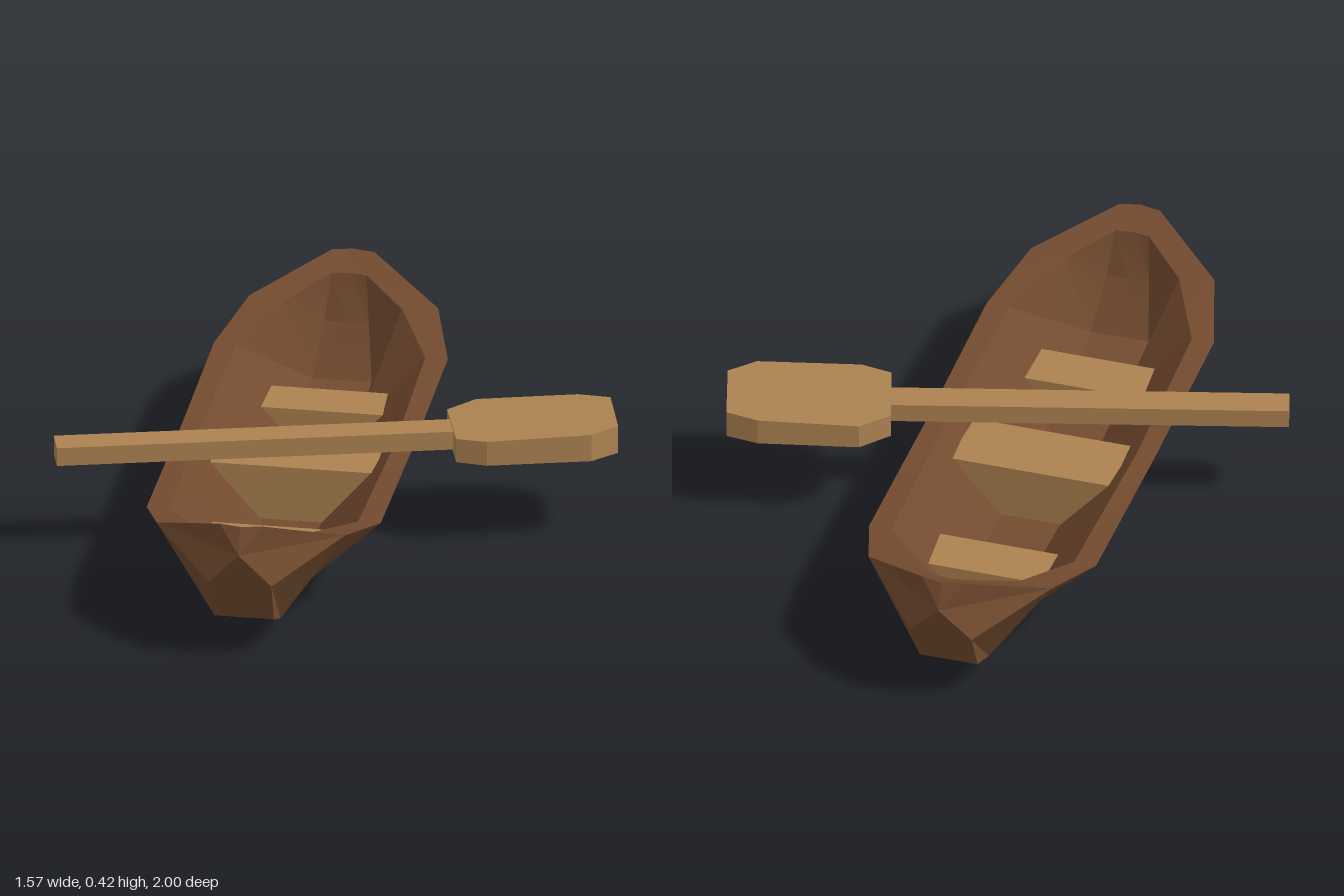
import * as THREE from 'three';
import { toCreasedNormals } from 'three/addons/utils/BufferGeometryUtils.js';

const HULL_X = -0.13;

// Quarter hull as polygons, mirrored across x and z
function hullGeometry() {
  // cross-sections: keel centre, bottom edge, outer rim, inner rim, floor edge, floor centre
  const rings = [
    [[0, 0.005, 0], [0.085, 0.005, 0], [0.335, 0.275, 0], [0.28, 0.275, 0], [0.085, 0.05, 0], [0, 0.05, 0]],
    [[0, 0.051, 0.57], [0.085, 0.051, 0.57], [0.335, 0.285, 0.57], [0.27, 0.285, 0.57], [0.085, 0.09, 0.57], [0, 0.09, 0.57]],
    [[0, 0.07, 0.79], [0.085, 0.07, 0.79], [0.27, 0.34, 0.79], [0.17, 0.335, 0.775], [0.085, 0.11, 0.76], [0, 0.11, 0.76]],
    [[0, 0.115, 0.9], [0.085, 0.115, 0.9], [0.06, 0.425, 0.955], [0.05, 0.385, 0.88], [0.065, 0.25, 0.85], [0, 0.25, 0.85]],
  ];
  const polys = [];
  for (let s = 0; s < 3; s++) {
    for (let j = 0; j < 5; j++) {
      if (s === 2 && j === 1) continue; // the bow cheek is made below
      polys.push([rings[s][j], rings[s][j + 1], rings[s + 1][j + 1], rings[s + 1][j]]);
    }
  }
  // bow: cheek, stem and top
  const [, bottom, outer] = rings[2];
  const [keelEnd, bottomEnd, top, innerEnd, floorEnd, floorMid] = rings[3];
  const cheek = [0.09, 0.25, 0.975], stem = [0, 0.35, 1];
  const topMid = [0, 0.425, 0.968], innerMid = [0, 0.385, 0.888];
  polys.push(
    [bottom, outer, cheek, bottomEnd], [outer, stem, cheek], [outer, top, stem], [top, topMid, stem],
    [bottomEnd, cheek, stem, keelEnd], [top, innerEnd, innerMid, topMid], [innerEnd, floorEnd, floorMid, innerMid],
  );
  const positions = [];
  for (const sx of [1, -1]) {
    for (const sz of [1, -1]) {
      for (const poly of polys) {
        const p = sx * sz > 0 ? poly : [...poly].reverse();
        for (let i = 1; i < p.length - 1; i++) {
          for (const [x, y, z] of [p[0], p[i], p[i + 1]]) positions.push(x * sx, y, z * sz);
        }
      }
    }
  }
  const geometry = new THREE.BufferGeometry();
  geometry.setAttribute('position', new THREE.Float32BufferAttribute(positions, 3));
  return toCreasedNormals(geometry, 0.35);
}

function prism(points, depth) {
  const shape = new THREE.Shape(points.map(([x, y]) => new THREE.Vector2(x, y)));
  return new THREE.ExtrudeGeometry(shape, { depth, bevelEnabled: false });
}

export function createModel() {
  const model = new THREE.Group();
  model.name = 'canoe';
  const darkWood = new THREE.MeshStandardMaterial({ color: 0x734b2f });
  darkWood.name = 'darkWood';
  const lightWood = new THREE.MeshStandardMaterial({ color: 0xac8250 });
  lightWood.name = 'lightWood';

  const add = (name, geometry, material, parent = model) => {
    const mesh = new THREE.Mesh(geometry, material);
    mesh.name = name;
    parent.add(mesh);
    return mesh;
  };

  add('hull', hullGeometry(), darkWood).position.x = HULL_X;

  // Benches, their slanted ends sunk into the hull walls
  const seats = [
    ['backSeat', -0.475, 0.15, 0.195, 0.175, 0.08],
    ['middleSeat', 0, 0.205, 0.255, 0.223, 0.06],
    ['frontSeat', 0.475, 0.15, 0.195, 0.175, 0.08],
  ];
  for (const [name, z, depth, half, top, base] of seats) {
    const outline = [[-half, top], [-0.1, base], [0.1, base], [half, top]];
    add(name, prism(outline, depth), lightWood).position.set(HULL_X, 0, z - depth / 2);
  }

  // Paddle lying across the hull
  const paddle = new THREE.Group();
  paddle.name = 'paddle';
  model.add(paddle);
  const shaft = add('paddleShaft', new THREE.BoxGeometry(1.15, 0.055, 0.087), lightWood, paddle);
  shaft.position.set(-0.22, 0.308, 0.132);
  shaft.rotation.y = 0.268;

  // blade outline as x, z, laid flat; the top rises slightly to the tip
  const outline = [
    [0.28, -0.11], [0.35, -0.19], [0.63, -0.255], [0.725, -0.245],
    [0.78, -0.05], [0.715, 0.02], [0.43, 0.1], [0.34, 0.09],
  ];
  const blade = prism(outline.map(([x, z]) => [x, -z]), 0.07);
  blade.rotateX(-Math.PI / 2);
  const p = blade.attributes.position;
  for (let i = 0; i < p.count; i++) {
    if (p.getY(i) > 0.03) p.setY(i, 0.07 + (p.getX(i) - 0.28) * 0.025);
  }
  blade.computeVertexNormals();
  add('paddleBlade', blade, lightWood, paddle).position.y = 0.27;

  return model;
}
